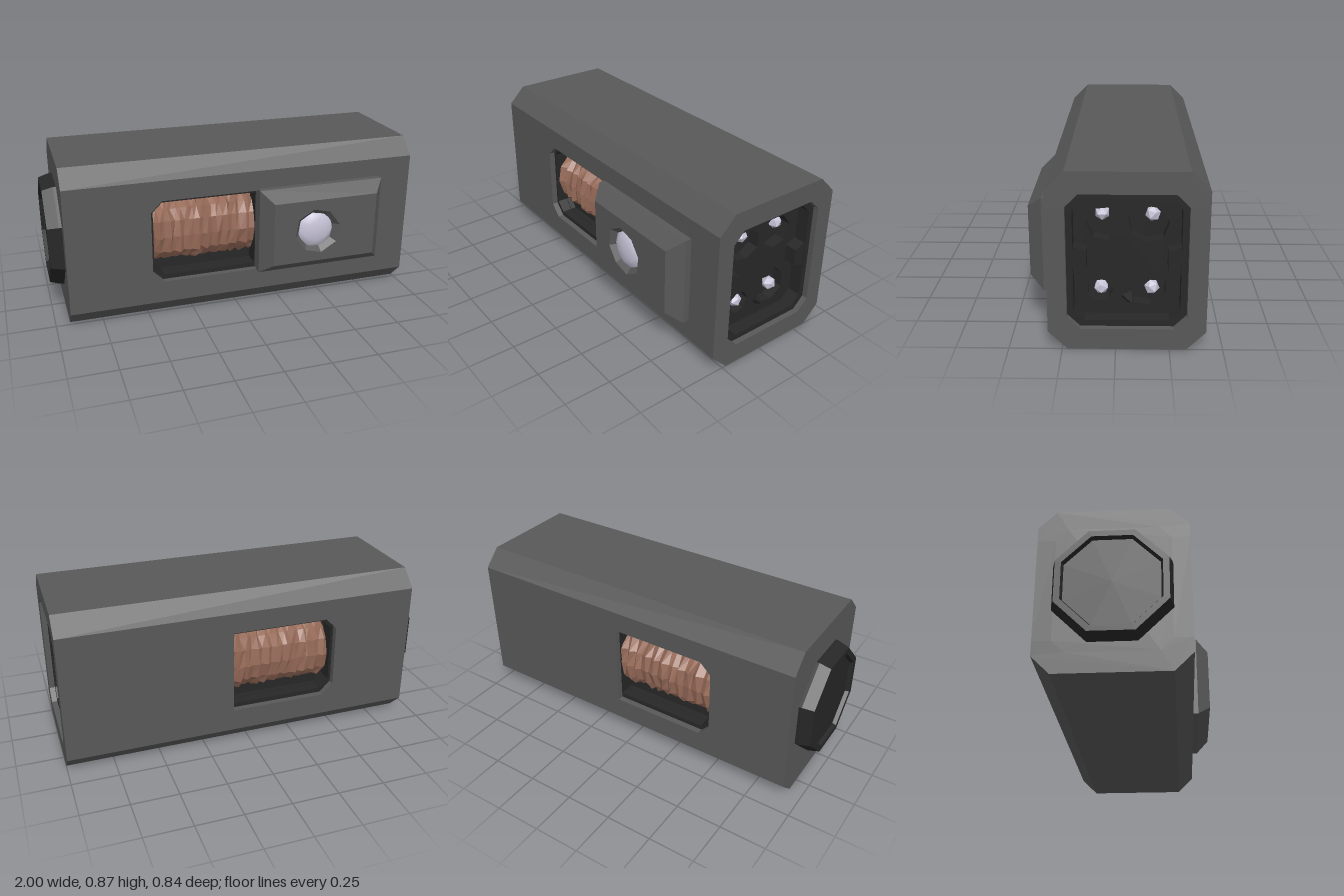
import * as THREE from 'three';

const paint = (name, color) => {
  const m = new THREE.MeshStandardMaterial({ color });
  m.name = name;
  return m;
};

const flat = (geo) => {
  const g = geo.index ? geo.toNonIndexed() : geo;
  g.computeVertexNormals();
  return g;
};

const polygon = (pts) => new THREE.Shape(pts.map(([x, y]) => new THREE.Vector2(x, y)));

const octagon = (w, h, c) => polygon([
  [w, -h + c], [w, h - c], [w - c, h], [-w + c, h],
  [-w, h - c], [-w, -h + c], [-w + c, -h], [w - c, -h]]);

// regular polygon with a little wobble in the corners
const roughHole = (cx, cy, r, sides, turn, wobble) => polygon(
  Array.from({ length: sides }, (_, i) => {
    const a = turn + (i / sides) * Math.PI * 2;
    const rr = r * (1 + wobble * Math.sin(i * 4.7));
    return [cx + rr * Math.cos(a), cy + rr * Math.sin(a)];
  }));

// cross-section (-z, y) swept along x
const sweepX = (shape, x0, x1) =>
  new THREE.ExtrudeGeometry(shape, { depth: x1 - x0, bevelEnabled: false })
    .rotateY(Math.PI / 2).translate(x0, 0, 0);

export function createModel() {
  const model = new THREE.Group();
  const grey = paint('grey casing', 0x585858);
  const dark = paint('dark lining', 0x272727);
  const copper = paint('copper', 0x976b59);
  const crystal = paint('pale crystal', 0xc8c4d8);

  // everything is placed around the axis of the casing
  const core = new THREE.Group();
  core.name = 'core';
  core.position.set(0, 0.435, -0.0525);
  model.add(core);
  const add = (name, geo, mat, parent = core) => {
    const m = new THREE.Mesh(geo, mat);
    m.name = name;
    parent.add(m);
    return m;
  };

  // hollow eight-sided tube with a window through both side walls
  const tube = (name, x0, x1, [w, h, c], [w2, h2, c2], hole, mat) => {
    const s = h2 - c2;
    const cap = polygon([
      [w2, s], [w, s], [w, h - c], [w - c, h], [-w + c, h], [-w, h - c],
      [-w, s], [-w2, s], [-w2 + c2, h2], [w2 - c2, h2]]);
    const capGeo = sweepX(cap, x0, x1);
    add(name + 'Top', capGeo, mat);
    add(name + 'Bottom', capGeo, mat).rotation.x = Math.PI;
    const wall = polygon([[x0, -s], [x1, -s], [x1, s], [x0, s]]);
    wall.holes.push(polygon(hole));
    const wallGeo = new THREE.ExtrudeGeometry(wall, { depth: w - w2, bevelEnabled: false });
    add(name + 'Front', wallGeo, mat).position.z = w2;
    add(name + 'Back', wallGeo, mat).position.z = -w;
  };
  const windowHole = (x0, x1, y0, y1, c) =>
    [[x0 + c, y0], [x1, y0], [x1, y1], [x0 + c, y1], [x0, y1 - c], [x0, y0 + c]];

  const outer = [0.3675, 0.435, 0.09];
  const opening = [0.2775, 0.33, 0.06];
  const lining = [0.2475, 0.30, 0.05];
  const outerWindow = windowHole(-0.48, 0.1, -0.225, 0.235, 0.06);
  const innerWindow = windowHole(-0.465, 0.098, -0.2, 0.215, 0.05);
  tube('casing', -0.925, 1, outer, opening, outerWindow, grey);
  tube('lining', -0.85, 0.97, opening, lining, innerWindow, dark);
  add('endWall', sweepX(octagon(...opening), -0.925, -0.85), grey);

  // dark frame set just inside each window, and a dark core behind the coil
  const frame = polygon(outerWindow);
  frame.holes.push(polygon(innerWindow));
  const frameGeo = new THREE.ExtrudeGeometry(frame, { depth: 0.055, bevelEnabled: false });
  add('windowFrameFront', frameGeo, dark).position.z = 0.28;
  add('windowFrameBack', frameGeo, dark).position.z = -0.335;
  add('coilCore', new THREE.BoxGeometry(0.8, 0.56, 0.4), dark).position.x = -0.18;

  // stepped eight-sided plug on the closed end
  const plugProfile = [[0.305, 0], [0.305, 0.015], [0.287, 0.075], [0.255, 0.075], [0.245, 0.055], [0, 0.055]]
    .map(([r, y]) => new THREE.Vector2(r, y));
  add('endPlug', flat(new THREE.LatheGeometry(plugProfile, 8, Math.PI / 8)
    .rotateZ(Math.PI / 2).translate(-0.925, 0, 0)), dark);

  // copper coil: ridged lathe squared off towards the windows, with uneven turns
  const turns = 11, sides = 18, x0 = -0.13, x1 = 0.455;
  const profile = [new THREE.Vector2(0, x0)];
  for (let i = 0; i <= turns * 2; i++) {
    profile.push(new THREE.Vector2(i % 2 ? 1 : 0.93, x0 + ((x1 - x0) * i) / (turns * 2)));
  }
  profile.push(new THREE.Vector2(0, x1));
  const coil = new THREE.LatheGeometry(profile, sides);
  const p = coil.attributes.position;
  const noise = (n) => {
    const s = Math.sin(n * 12.9898) * 43758.5453;
    return s - Math.floor(s) - 0.5;
  };
  const swell = (v, r) => Math.sign(v) * Math.abs(v) ** 0.75 * r;
  for (let i = 0; i < p.count; i++) {
    const seg = Math.floor(i / profile.length) % sides, j = i % profile.length;
    if (j === 0 || j === profile.length - 1) continue;
    const k = 1 + 0.06 * noise(seg * 31 + j * 7 + 1);
    const edge = j === 1 || j === profile.length - 2 ? 0 : 1;
    const slide = edge * 0.02 * noise(seg * 17 + j * 3 + 5);
    p.setXYZ(i, swell(p.getX(i), 0.2 * k), p.getY(i) + slide, swell(p.getZ(i), 0.335 * k));
  }
  add('coil', flat(coil.rotateZ(Math.PI / 2)), copper).position.y = 0.008;

  // socket panel in the open end, with four pockets
  const pockets = [
    [0.10, 0.155, 0.088, 7, 0.4], [-0.10, 0.155, 0.096, 7, 0.1],
    [0.125, -0.175, 0.062, 7, 0.9], [-0.08, -0.155, 0.105, 8, 0.3]];
  const panel = octagon(...lining);
  pockets.forEach(([z, y, r, n, t]) => panel.holes.push(roughHole(-z, y, r, n, t, 0.06)));
  add('socketPanel', sweepX(panel, 0.84, 0.9), dark);
  add('socketBack', sweepX(octagon(...lining), 0.8, 0.84), dark);

  // crystal studs in the pockets
  [[0.115, 0.2], [-0.117, 0.195], [0.122, -0.175], [-0.117, -0.175]].forEach(([z, y], i) => {
    const stud = add('stud', new THREE.IcosahedronGeometry(0.037, 0), crystal);
    stud.position.set(0.87, y, z);
    stud.rotation.x = i * 0.8;
  });

  // small key between the lower pockets
  add('socketKey', new THREE.TetrahedronGeometry(0.04), dark).position.set(0.9, -0.215, 0);

  // locking tabs either side of the socket
  const tab = sweepX(polygon([[0.187, -0.045], [0.27, -0.075], [0.27, 0.075], [0.187, 0.045]]), 0.88, 0.965);
  add('tab', tab, dark);
  add('tab', tab, dark).rotation.x = Math.PI;
  core.children.slice(-2).forEach((t, i) => { t.name = i ? 'tabFront' : 'tabBack'; });

  // bevelled button cover with a countersunk hole
  const cover = polygon([[0.16, 0.265], [0.75, 0.265], [0.75, 0.62], [0.16, 0.62]]);
  cover.holes.push(roughHole(0.41, 0.44, 0.13, 8, 0.2, 0.04));
  add('buttonCover', new THREE.ExtrudeGeometry(cover, {
    depth: 0.05, bevelThickness: 0.07, bevelSize: 0.06, bevelSegments: 1,
  }).translate(0, 0, 0.3), grey, model);

  // faceted crystal button
  const button = add('button', new THREE.IcosahedronGeometry(0.108, 1), crystal, model);
  button.position.set(0.408, 0.438, 0.378);
  button.scale.z = 0.38;

  return model;
}
